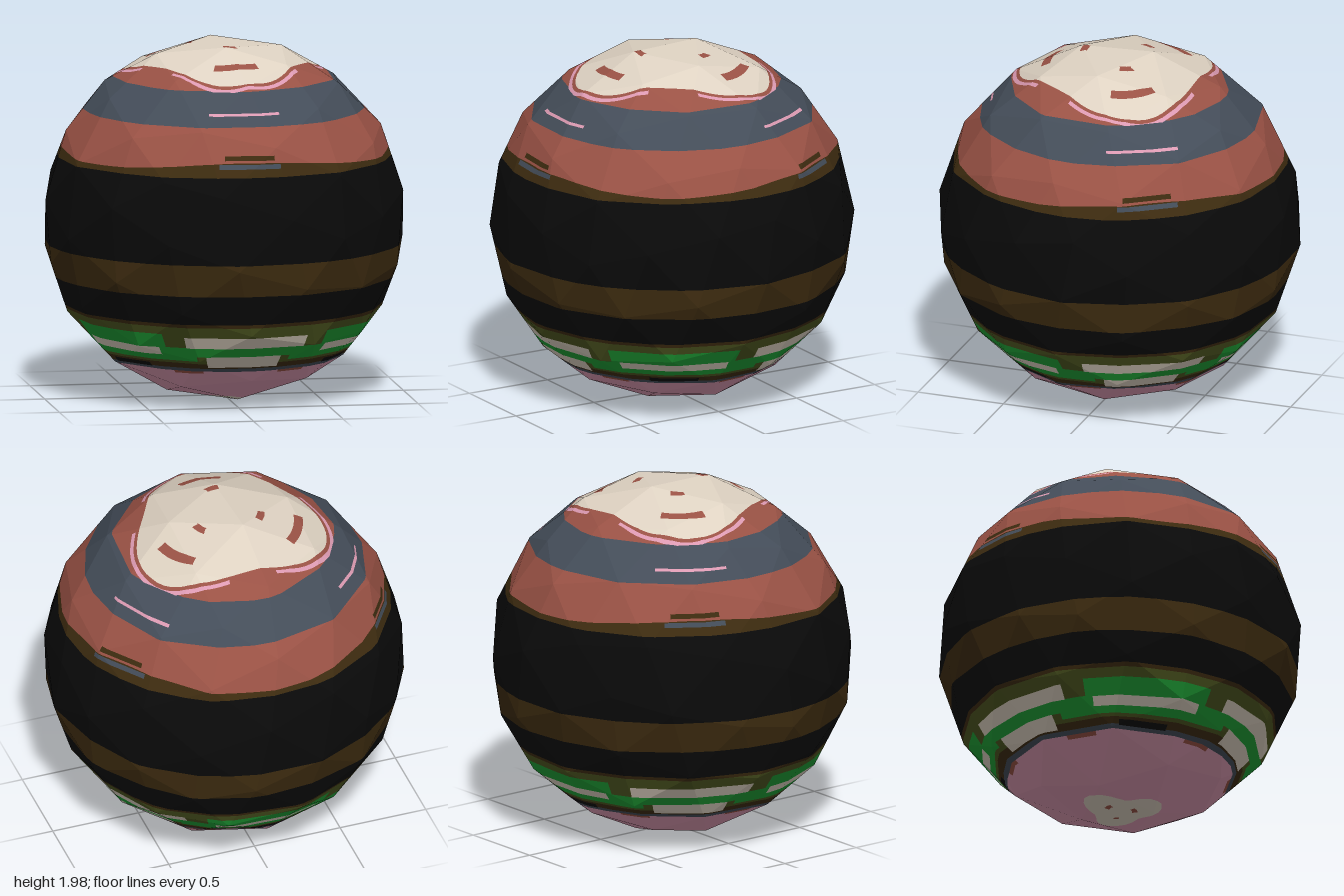
import * as THREE from 'three';

const mat = (name, color) => new THREE.MeshStandardMaterial({ name, color });
const M = {
  cream: mat('cream', 0xded2c2), brick: mat('brick', 0x9a5245), slate: mat('slate', 0x444d59),
  black: mat('black', 0x0a0a0a), brown: mat('brown', 0x3e2c10), pink: mat('pink', 0xdc9ab2),
  green: mat('green', 0x1fa036), olive: mat('olive', 0x4d5620),
};

// Fields are positive inside a region. The pattern repeats three times around the axis:
// c = cos(3 * azimuth) is 1 on the three lobes and -1 between them; r is distance from the axis.
const above = (h) => (p) => p.y - h;
const below = (h) => (p) => h - p.y;
const within = (r) => (p) => r - p.r;
const beyond = (r) => (p) => p.r - r;
const cosAt = (deg) => Math.cos(THREE.MathUtils.degToRad(3 * deg));
const nearLobe = (deg) => (p) => p.c - cosAt(deg);
const awayFromLobe = (deg) => (p) => cosAt(deg) - p.c;
const cap = (r) => (p) => r + 0.06 * p.c - p.r;
const band = (lo, hi) => [above(lo), below(hi)];
const top = above(1.5);
const bottom = below(0.2);

// Painted regions: the first one that contains a point wins
const layers = [
  // top cap
  ['capLongDashes', M.brick, top, beyond(0.385), within(0.435), nearLobe(17)],
  ['capShortDashes', M.brick, top, beyond(0.185), within(0.225), nearLobe(11)],
  ['topCap', M.cream, top, cap(0.51)],
  ['capBorder', M.brick, top, cap(0.528)],
  ['capRim', M.pink, above(1.77), cap(0.548), nearLobe(44)],
  ['capRing', M.brick, above(1.775)],
  // upper bands
  ['thinLines', M.pink, ...band(1.655, 1.668), nearLobe(16)],
  ['upperBand', M.slate, above(1.6)],
  ['lobeBrownPatches', M.brown, ...band(1.43, 1.455), nearLobe(9)],
  ['lobeSlatePatches', M.slate, ...band(1.385, 1.41), nearLobe(11)],
  ['brickBand', M.brick, (p) => p.y - 1.393 - 0.025 * p.c],
  ['upperBrownBand', M.brown, above(1.34)],
  // middle bands
  ['wideBlackBand', M.black, above(0.86)],
  ['lowerBrownBand', M.brown, above(0.68)],
  ['narrowBlackBand', M.black, above(0.515)],
  ['brownLine', M.brown, above(0.495)],
  // woven green and cream belt
  ['upperCreamStrips', M.cream, ...band(0.368, 0.433), nearLobe(25)],
  ['upperGreenBlobs', M.green, above(0.368), below(0.45), awayFromLobe(34)],
  ['sideCreamStrips', M.cream, ...band(0.322, 0.368), awayFromLobe(37)],
  ['greenStrips', M.green, ...band(0.315, 0.37), nearLobe(40)],
  ['lowerGreenStrips', M.green, ...band(0.288, 0.323), awayFromLobe(21)],
  ['lowerCreamStrips', M.cream, ...band(0.248, 0.316), nearLobe(17)],
  ['blackSpots', M.black, ...band(0.235, 0.26), awayFromLobe(48)],
  ['lowerBrownLine', M.brown, ...band(0.24, 0.272)],
  ['oliveBelt', M.olive, above(0.24)],
  ['slateLine', M.slate, above(0.22)],
  // bottom cap
  ['bottomBrickMarks', M.brick, above(0.205), awayFromLobe(20), nearLobe(36)],
  ['bottomEyes', M.brick, bottom, beyond(0.07), within(0.1), nearLobe(16)],
  ['bottomPatch', M.cream, bottom, (p) => 0.19 + 0.05 * p.c - p.r],
  ['bottomCap', M.pink],
];

function point(v) {
  return { v, y: v.y, r: Math.hypot(v.x, v.z), c: Math.cos(3 * Math.atan2(v.x, v.z)) };
}

// Split a convex polygon where a field changes sign
function split(poly, field) {
  const d = poly.map(field);
  if (d.every((s) => s >= 0)) return [poly, null];
  if (d.every((s) => s <= 0)) return [null, poly];
  const inside = [], outside = [];
  poly.forEach((a, i) => {
    const j = (i + 1) % poly.length;
    if (d[i] >= 0) inside.push(a);
    if (d[i] <= 0) outside.push(a);
    if (d[i] * d[j] < 0) {
      const cut = point(a.v.clone().lerp(poly[j].v, d[i] / (d[i] - d[j])));
      inside.push(cut);
      outside.push(cut);
    }
  });
  return [inside, outside];
}

// Faceted ball, turned so that one icosahedron edge runs from a to b
function facetedBall() {
  const a = new THREE.Vector3(0.972, 0.222, -0.08).normalize();
  const b = new THREE.Vector3(0.643, -0.758, 0.115).normalize();
  const x = a.clone().add(b).normalize();
  const z = a.clone().sub(b).normalize();
  const y = z.clone().cross(x);
  const g = new THREE.IcosahedronGeometry(1.006, 2);
  g.applyMatrix4(new THREE.Matrix4().makeBasis(x, y, z));
  g.computeBoundingBox();
  g.translate(0, -g.boundingBox.min.y, 0);
  return g;
}

// Cut one facet into n * n small triangles so curved borders follow it
function subdivide(A, B, C, n) {
  const at = (i, j) => point(A.clone()
    .addScaledVector(B.clone().sub(A), i / n)
    .addScaledVector(C.clone().sub(A), j / n));
  const out = [];
  for (let i = 0; i < n; i++) {
    for (let j = 0; j < n - i; j++) {
      out.push([at(i, j), at(i + 1, j), at(i, j + 1)]);
      if (i + j < n - 1) out.push([at(i + 1, j), at(i + 1, j + 1), at(i, j + 1)]);
    }
  }
  return out;
}

export function createModel() {
  const group = new THREE.Group();
  group.name = 'bandedBall';
  const pos = facetedBall().getAttribute('position');
  const parts = layers.map(() => ({ position: [], normal: [] }));

  for (let f = 0; f < pos.count; f += 3) {
    const [A, B, C] = [0, 1, 2].map((k) => new THREE.Vector3().fromBufferAttribute(pos, f + k));
    const n = new THREE.Triangle(A, B, C).getNormal(new THREE.Vector3());
    let rest = subdivide(A, B, C, 8);
    layers.forEach(([, , ...fields], l) => {
      const next = [];
      for (let poly of rest) {
        for (const field of fields) {
          const [inside, outside] = split(poly, field);
          if (outside) next.push(outside);
          poly = inside;
          if (!poly) break;
        }
        if (!poly) continue;
        for (let i = 1; i < poly.length - 1; i++) {
          for (const p of [poly[0], poly[i], poly[i + 1]]) {
            parts[l].position.push(p.v.x, p.v.y, p.v.z);
            parts[l].normal.push(n.x, n.y, n.z);
          }
        }
      }
      rest = next;
    });
  }

  layers.forEach(([name, material], l) => {
    if (!parts[l].position.length) return;
    const g = new THREE.BufferGeometry();
    for (const key of ['position', 'normal']) {
      g.setAttribute(key, new THREE.Float32BufferAttribute(parts[l][key], 3));
    }
    const mesh = new THREE.Mesh(g, material);
    mesh.name = name;
    group.add(mesh);
  });
  return group;
}
